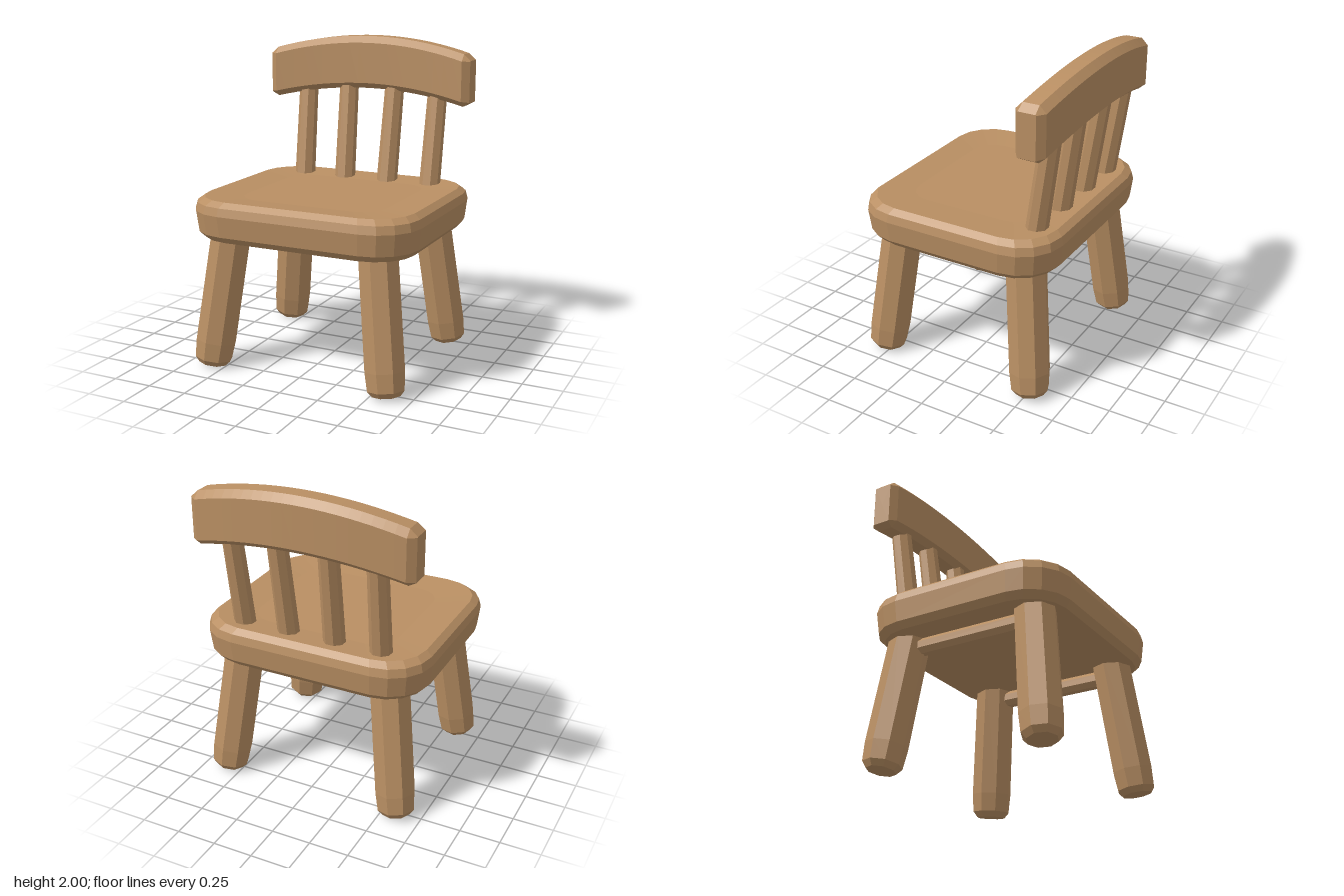
import * as THREE from 'three';

const wood = new THREE.MeshStandardMaterial({ color: 0xb98f63, flatShading: true });
wood.name = 'wood';

// Skin a stack of equal-length rings, closing both ends with a fan.
function loft(rings) {
  const n = rings[0].length;
  const pos = [];
  const index = [];
  rings.forEach((ring) => ring.forEach((p) => pos.push(p.x, p.y, p.z)));
  for (let r = 0; r < rings.length - 1; r++) {
    for (let i = 0; i < n; i++) {
      const a = r * n + i;
      const b = r * n + ((i + 1) % n);
      index.push(a, b, b + n, a, b + n, a + n);
    }
  }
  const last = (rings.length - 1) * n;
  [0, last].forEach((base) => {
    const c = new THREE.Vector3();
    rings[base / n].forEach((p) => c.addScaledVector(p, 1 / n));
    const ci = pos.length / 3;
    pos.push(c.x, c.y, c.z);
    for (let i = 0; i < n; i++) {
      const a = base + i;
      const b = base + ((i + 1) % n);
      if (base === 0) index.push(ci, b, a);
      else index.push(ci, a, b);
    }
  });
  const geo = new THREE.BufferGeometry();
  geo.setAttribute('position', new THREE.Float32BufferAttribute(pos, 3));
  geo.setIndex(index);
  geo.computeVertexNormals();
  return geo;
}

// Horizontal rounded rectangle with four facets per corner.
function roundedRing(hx, hz, r, y) {
  const ring = [];
  for (let k = 0; k < 4; k++) {
    const sx = k < 2 ? 1 : -1;
    const sz = k === 0 || k === 3 ? 1 : -1;
    for (let i = 0; i <= 4; i++) {
      const phi = ((k + i / 4) * Math.PI) / 2;
      ring.push(new THREE.Vector3(
        sx * (hx - r) + r * Math.sin(phi), y, 0.01 + sz * (hz - r) + r * Math.cos(phi)));
    }
  }
  return ring;
}

// Vertical section of the backrest board at a given x.
function boardSection(x, top, bottom, front, back, bevel) {
  const lower = bevel * 0.85;
  return [
    [front, top - bevel], [front, bottom + lower],
    [front - bevel, bottom], [back + bevel, bottom],
    [back, bottom + lower], [back, top - bevel],
    [back + bevel, top], [front - bevel, top],
  ].map(([z, y]) => new THREE.Vector3(x, y, z));
}

// Faceted rod standing on point a and pointing at b; profile is [radius, height].
function rod(name, a, b, profile, turn = 0) {
  const points = profile.map(([r, h]) => new THREE.Vector2(r, h));
  const geo = new THREE.LatheGeometry(points, 8, turn);
  const mesh = new THREE.Mesh(geo, wood);
  mesh.name = name;
  const dir = b.clone().sub(a).normalize();
  mesh.quaternion.setFromUnitVectors(new THREE.Vector3(0, 1, 0), dir);
  mesh.position.copy(a);
  return mesh;
}

export function createModel() {
  const chair = new THREE.Group();
  chair.name = 'chair';
  const V = (x, y, z) => new THREE.Vector3(x, y, z);

  // Seat: bevelled slab with a shallow dished top
  const seatRings = [
    [0.05, 0.83], [0.015, 0.87], [0, 1.0], [0.012, 1.05], [0.05, 1.08],
  ].map(([inset, y]) => roundedRing(0.735 - inset, 0.655 - inset, 0.275 - inset * 0.5, y));
  seatRings.push(roundedRing(0.47, 0.42, 0.15, 1.065));
  const seat = new THREE.Mesh(loft(seatRings), wood);
  seat.name = 'seat';
  chair.add(seat);

  // Backrest: board arched upward and bowed backward, chamfered at both ends
  const half = 0.66;
  const steps = 20;
  const sections = [boardSection(-0.705, 1.87, 1.605, -0.478, -0.592, 0.004)];
  for (let i = 0; i <= steps; i++) {
    const t = (2 * i) / steps - 1;
    const rise = 1 - t * t;
    sections.push(boardSection(
      t * half, 1.91 + 0.09 * rise, 1.58 + 0.08 * rise,
      -0.445 - 0.04 * rise, -0.63 - 0.04 * rise, 0.042));
  }
  sections.push(boardSection(0.705, 1.87, 1.605, -0.478, -0.592, 0.004));
  const backrest = new THREE.Mesh(loft(sections), wood);
  backrest.name = 'backrest';
  chair.add(backrest);

  // Splayed legs with rounded feet
  const legProfile = [[0, 0], [0.09, 0], [0.118, 0.035], [0.127, 0.15], [0.125, 0.9], [0, 0.9]];
  for (const sx of [1, -1]) {
    for (const sz of [1, -1]) {
      const name = (sz > 0 ? 'front' : 'back') + (sx > 0 ? 'Left' : 'Right') + 'Leg';
      chair.add(rod(name, V(sx * 0.592, 0.017, 0.01 + sz * 0.527),
        V(sx * 0.495, 0.83, 0.01 + sz * 0.438), legProfile));
    }
    // Stretcher joining front and back legs
    chair.add(rod(sx > 0 ? 'leftStretcher' : 'rightStretcher',
      V(sx * 0.5, 0.78, -0.42), V(sx * 0.5, 0.78, 0.44),
      [[0, 0], [0.054, 0], [0.054, 0.86], [0, 0.86]], Math.PI / 8));

    // Backrest spindles, leaning back and slightly outward
    [0.152, 0.453].forEach((x, i) => {
      chair.add(rod((sx > 0 ? 'left' : 'right') + (i ? 'Outer' : 'Inner') + 'Spindle',
        V(sx * x, 1.0, -0.463), V(sx * (x + 0.012), 1.72, -0.567),
        [[0, 0], [0.068, 0], [0.062, 0.73], [0, 0.73]], Math.PI / 8));
    });
  }
  return chair;
}
